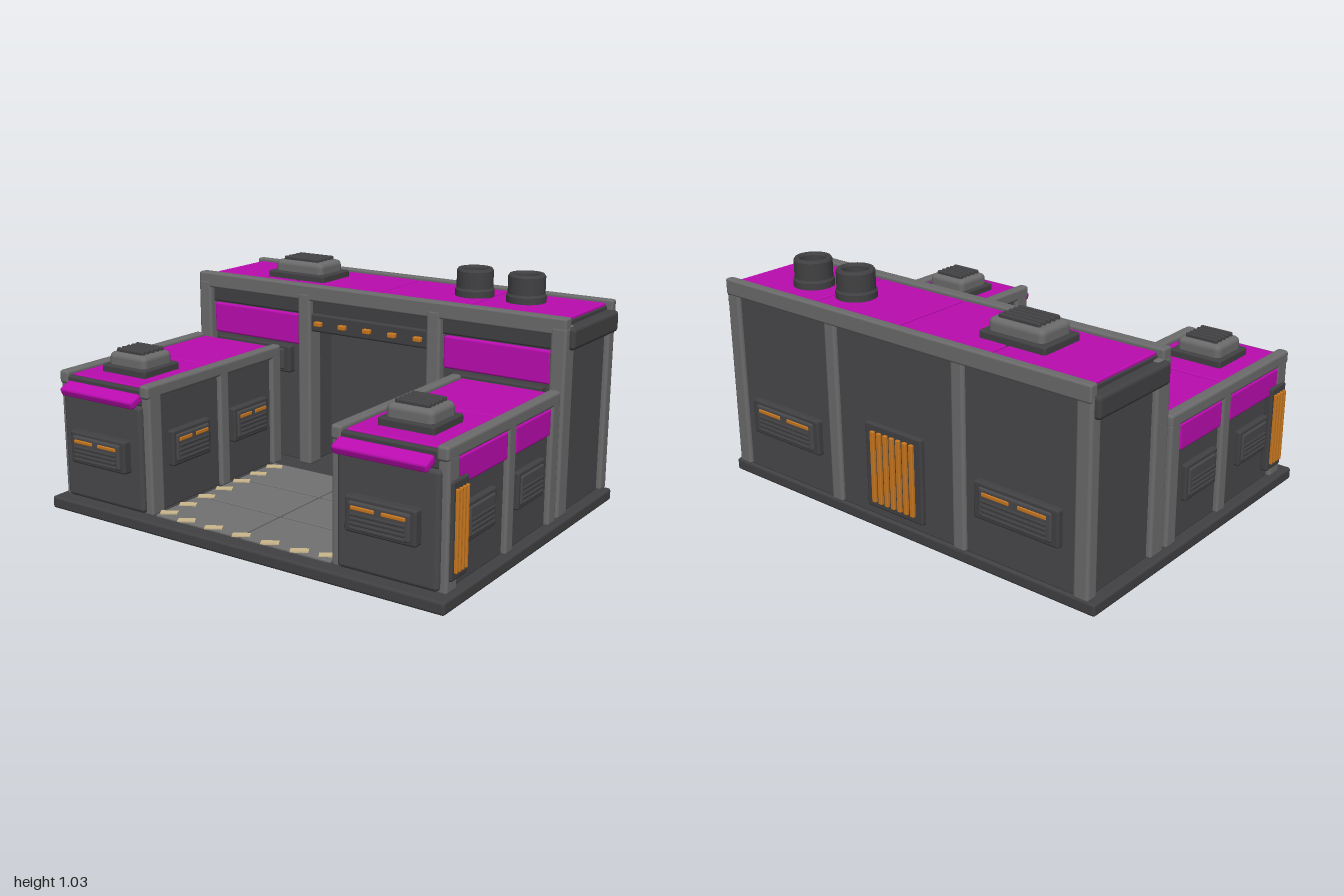
import * as THREE from 'three';
import { RoundedBoxGeometry } from 'three/addons/geometries/RoundedBoxGeometry.js';

const paint = (name, color) => Object.assign(new THREE.MeshStandardMaterial({ color }), { name });
const M = {
  magenta: paint('magenta panel', 0xbb0cb0),
  wall: paint('dark wall', 0x48484b),
  trim: paint('grey trim', 0x6b6b6b),
  dark: paint('dark metal', 0x414143),
  floor: paint('floor grey', 0x727272),
  orange: paint('orange light', 0xc9781f),
  tan: paint('hazard tan', 0xcbb78c),
};

// Rounded box given by its limits on each axis
function box(parent, name, mat, x0, x1, y0, y1, z0, z1, r = 0.01) {
  const w = Math.abs(x1 - x0), h = y1 - y0, d = z1 - z0;
  const radius = Math.min(r, w * 0.45, h * 0.45, d * 0.45);
  const mesh = new THREE.Mesh(new RoundedBoxGeometry(w, h, d, 2, radius), mat);
  mesh.position.set((x0 + x1) / 2, (y0 + y1) / 2, (z0 + z1) / 2);
  mesh.name = name;
  parent.add(mesh);
  return mesh;
}

function group(parent, name, x = 0, y = 0, z = 0, ry = 0) {
  const g = new THREE.Group();
  g.name = name;
  g.position.set(x, y, z);
  g.rotation.y = ry;
  parent.add(g);
  return g;
}

// Horizontal louvre vent facing +z, with or without a pair of lights
function wallVent(parent, x, y, z, ry, w, h, depth, lit) {
  const g = group(parent, 'wallVent', x, y, z, ry);
  const a = w / 2, b = h / 2;
  box(g, 'ventFrame', M.dark, -a, a, -b, b, -0.02, depth * 0.65);
  box(g, 'ventCore', M.wall, -a * 0.86, a * 0.86, -b * 0.78, b * 0.78, 0, depth * 0.85);
  for (let i = 0; i < 4; i++) {
    const cy = b * (0.12 - i * 0.25);
    box(g, 'louvre', M.dark, -a * 0.76, a * 0.76, cy - 0.006, cy + 0.006, 0, depth, 0.004);
  }
  if (lit) for (const s of [-1, 1])
    box(g, 'ventLight', M.orange, s * a * 0.1, s * a * 0.76, b * 0.36, b * 0.58, 0, depth * 0.95, 0.004);
}

// Tall grille with glowing bars facing +z
function grille(parent, x, y, z, ry, w, h, depth, bars) {
  const g = group(parent, 'glowingGrille', x, y, z, ry);
  box(g, 'grilleFrame', M.dark, -w / 2, w / 2, -h / 2, h / 2, -0.02, depth * 0.6);
  const step = w * 0.8 / bars;
  for (let i = 0; i < bars; i++) {
    const cx = (i - (bars - 1) / 2) * step;
    box(g, 'grilleBar', M.orange, cx - step * 0.3, cx + step * 0.3, -h * 0.42, h * 0.42, 0, depth, 0.004);
  }
}

// Stepped roof vent with rounded slats
function roofVent(parent, x, y, z, w, d, h) {
  const g = group(parent, 'roofVent', x, y, z);
  const a = w / 2, b = d / 2;
  box(g, 'ventBase', M.dark, -a, a, -0.02, h * 0.32, -b, b);
  box(g, 'ventHood', M.trim, -a * 0.84, a * 0.84, 0, h * 0.84, -b * 0.82, b * 0.82, 0.025);
  for (let i = 0; i < 5; i++) {
    const cz = (i - 2) * b * 0.26;
    box(g, 'ventSlat', M.dark, -a * 0.62, a * 0.62, h * 0.7, h, cz - b * 0.085, cz + b * 0.085, 0.008);
  }
}

// Open chimney through which the roof colour shows
function chimney(parent, x, y, z) {
  const pts = [[0.056, 0], [0.088, 0], [0.088, 0.03], [0.082, 0.04], [0.082, 0.115],
    [0.076, 0.125], [0.062, 0.125], [0.056, 0.115], [0.056, 0]];
  const geo = new THREE.LatheGeometry(pts.map(p => new THREE.Vector2(...p)), 28).toNonIndexed();
  geo.computeVertexNormals();
  const mesh = new THREE.Mesh(geo, M.dark);
  mesh.material.side = THREE.DoubleSide;
  mesh.name = 'chimney';
  mesh.position.set(x, y, z);
  parent.add(mesh);
}

function rearHall(root) {
  const g = group(root, 'rearHall');
  box(g, 'backWall', M.wall, -0.95, 0.95, 0.05, 0.87, -0.735, -0.45);
  box(g, 'doorHeader', M.dark, -0.33, 0.33, 0.70, 0.785, -0.46, -0.26);
  box(g, 'upperBeam', M.dark, -0.95, 0.95, 0.775, 0.87, -0.46, -0.275);
  box(g, 'frontRim', M.trim, -0.97, 0.97, 0.845, 0.918, -0.302, -0.248);
  box(g, 'backRim', M.trim, -0.97, 0.97, 0.845, 0.918, -0.757, -0.715);
  for (let i = 0; i < 4; i++) {
    const x = -0.946 + i * 0.473;
    box(g, 'roofPanel', M.magenta, x + 0.005, x + 0.468, 0.86, 0.905, -0.712, -0.305, 0.006);
  }
  box(g, 'roofSlab', M.dark, -0.945, 0.945, 0.85, 0.896, -0.72, -0.3);
  for (let i = -2; i <= 2; i++)
    box(g, 'doorLight', M.orange, i * 0.133 - 0.02, i * 0.133 + 0.02, 0.73, 0.752, -0.27, -0.24, 0.005);
  for (const s of [-1, 1]) {
    box(g, 'hallWall', M.wall, s * 0.33, s * 0.95, 0.05, 0.87, -0.5, -0.29);
    box(g, 'frontPanel', M.magenta, s * 0.385, s * 0.895, 0.625, 0.77, -0.3, -0.272);
    box(g, 'doorPost', M.trim, s * 0.31, s * 0.38, 0.05, 0.88, -0.34, -0.246, 0.014);
    box(g, 'cornerPost', M.trim, s * 0.9, s * 0.972, 0.05, 0.88, -0.337, -0.246, 0.014);
    box(g, 'rearPost', M.trim, s * 0.9, s * 0.972, 0.05, 0.87, -0.752, -0.69, 0.014);
    box(g, 'backPost', M.trim, s * 0.31, s * 0.375, 0.05, 0.87, -0.752, -0.7, 0.014);
    box(g, 'sideBand', M.dark, s * 0.93, s * 0.995, 0.78, 0.875, -0.737, -0.28, 0.018);
    wallVent(g, s * 0.65, 0.55, -0.29, 0, 0.44, 0.13, 0.06, true);
    wallVent(g, s * 0.635, 0.315, -0.735, Math.PI, 0.41, 0.16, 0.042, true);
  }
  grille(g, 0, 0.285, -0.735, Math.PI, 0.31, 0.38, 0.033, 7);
  roofVent(g, -0.49, 0.905, -0.495, 0.32, 0.22, 0.1);
  chimney(g, 0.385, 0.903, -0.545);
  chimney(g, 0.64, 0.903, -0.545);
}

function sideWing(root, s) {
  const g = group(root, s > 0 ? 'leftWing' : 'rightWing');
  box(g, 'wingBody', M.wall, s * 0.48, s * 0.95, 0.05, 0.59, -0.215, 0.68);
  box(g, 'frontPlate', M.wall, s * 0.495, s * 0.945, 0.06, 0.535, 0.66, 0.71, 0.02);
  box(g, 'frontBeam', M.dark, s * 0.5, s * 0.93, 0.53, 0.605, 0.66, 0.695);
  // Tilted awning over the front plate
  const awning = box(g, 'awning', M.magenta, s * 0.5, s * 0.915, 0.538, 0.578, 0.686, 0.756, 0.012);
  awning.rotation.x = 0.4;
  for (const z of [[-0.212, 0.221], [0.231, 0.672]]) {
    box(g, 'roofPanel', M.magenta, s * 0.515, s * 0.915, 0.57, 0.612, ...z, 0.006);
  }
  for (const z of [[-0.15, 0.16], [0.225, 0.685]])
    box(g, 'sidePanel', M.magenta, s * 0.94, s * 0.968, 0.45, 0.565, ...z);
  // Rails and posts on both long walls
  for (const [a, b] of [[0.46, 0.51], [0.92, 0.972]]) {
    box(g, 'roofRail', M.trim, s * a, s * b, 0.565, 0.625, -0.225, 0.7, 0.014);
    for (const [z0, z1] of [[-0.225, -0.155], [0.163, 0.226], [0.61, 0.69]])
      box(g, 'wallPost', M.trim, s * a, s * b, 0.05, 0.585, z0, z1, 0.012);
  }
  const out = s * Math.PI / 2;
  for (const z of [0.017, 0.433]) {
    wallVent(g, s * 0.95, 0.29, z, out, 0.235, 0.16, 0.035, false);
    wallVent(g, s * 0.48, 0.32, z, -out, 0.25, 0.16, 0.045, true);
  }
  grille(g, s * 0.965, 0.295, 0.615, out, 0.12, 0.39, 0.03, 4);
  wallVent(g, s * 0.715, 0.307, 0.71, 0, 0.315, 0.145, 0.06, true);
  roofVent(g, s * 0.713, 0.612, 0.46, 0.25, 0.225, 0.103);
}

function courtyard(root) {
  const g = group(root, 'courtyard');
  const xs = [-0.455, 0, 0.455], zs = [-0.155, 0.12, 0.405, 0.69];
  for (let i = 0; i < 2; i++) for (let j = 0; j < 3; j++)
    box(g, 'floorTile', M.floor, xs[i] + 0.005, xs[i + 1] - 0.005, 0.04, 0.064,
      zs[j] + 0.005, zs[j + 1] - 0.005, 0.004);
  // Slanted hazard marks along three edges
  const mark = (x, z) => {
    const m = new THREE.Mesh(new THREE.BoxGeometry(0.075, 0.006, 0.036), M.tan);
    m.name = 'hazardMark';
    m.position.set(x, 0.066, z);
    m.rotation.y = 0.52;
    g.add(m);
  };
  for (let i = 0; i < 7; i++) for (const s of [-1, 1]) mark(s * 0.413, -0.1 + i * 0.1235);
  for (let i = -2; i <= 2; i++) mark(i * 0.146, 0.668);
}

export function createModel() {
  const root = new THREE.Group();
  root.name = 'industrialBuilding';
  box(root, 'basePlate', M.dark, -1, 1, 0, 0.055, -0.748, 0.755, 0.012);
  courtyard(root);
  rearHall(root);
  for (const s of [-1, 1]) sideWing(root, s);
  return root;
}
